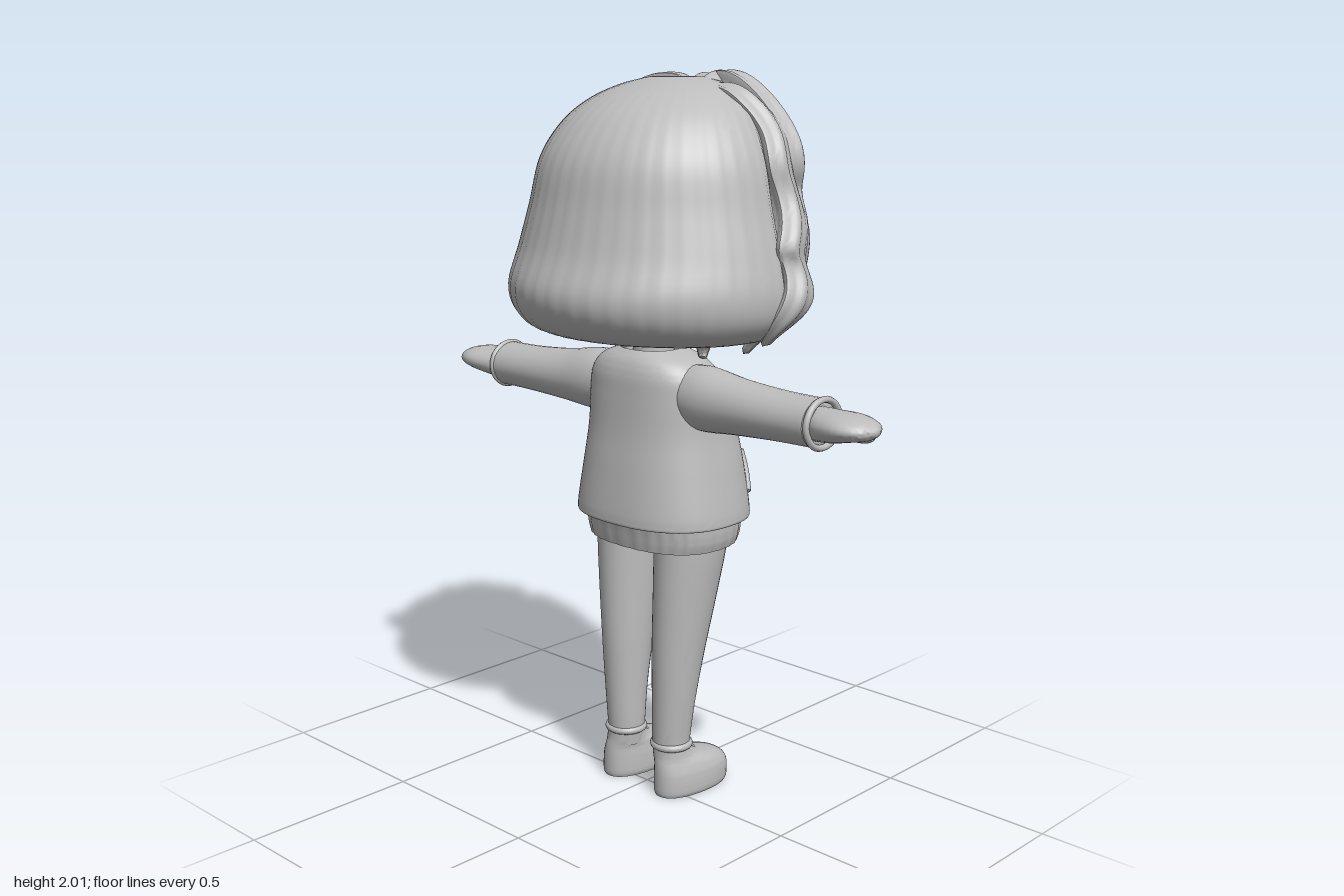
import * as THREE from 'three';
import { mergeVertices, toCreasedNormals } from 'three/addons/utils/BufferGeometryUtils.js';

const grey = new THREE.MeshStandardMaterial({ color: 0xbcbcbc, side: THREE.DoubleSide });
grey.name = 'plain grey';

// Skin a grid of points: rows run along the part, columns run round it
function skin(rows, cols, point, crease = 1) {
  const pos = [], index = [];
  for (let i = 0; i <= rows; i++)
    for (let j = 0; j <= cols; j++) pos.push(...point(i / rows, j / cols));
  for (let i = 0; i < rows; i++)
    for (let j = 0; j < cols; j++) {
      const a = i * (cols + 1) + j, b = a + cols + 1;
      index.push(a, a + 1, b + 1, a, b + 1, b);
    }
  let g = new THREE.BufferGeometry();
  g.setAttribute('position', new THREE.Float32BufferAttribute(pos, 3));
  g.setIndex(index);
  g = mergeVertices(g, 1e-5);
  return toCreasedNormals(g, crease);
}

// Stack of oval sections, bottom to top: [y, half width, back, front, centre z, centre x]
function loft(sections, { n = 48, steps = 6, power = 2, gap = 0, ripple = 0, ribs = 0, closed = true } = {}) {
  const column = k => new THREE.SplineCurve(sections.map((s, i) => new THREE.Vector2(i, s[k] ?? 0)));
  const curves = [0, 1, 2, 3, 4, 5].map(column);
  const rows = (sections.length - 1) * steps + (closed ? 2 : 0);
  return skin(rows, n, (v, w) => {
    const i = Math.round(v * rows);
    const t = closed ? THREE.MathUtils.clamp((i - 1) / (rows - 2), 0, 1) : v;
    const [y, W, B, F, c, x] = curves.map(k => k.getPoint(t).y);
    const scale = closed && (i === 0 || i === rows) ? 0 : 1;
    const a = gap + (2 * Math.PI - 2 * gap) * w;
    const bend = q => Math.sign(q) * Math.abs(q) ** (2 / power);
    const k = scale * (1 + ripple * Math.cos(a * ribs));
    const s = bend(Math.sin(a)), z = bend(Math.cos(a));
    return [x + W * s * k, y, c + z * k * (z > 0 ? F - c : c - B)];
  });
}

// Sweep an oval along a path; sizes are [half width, half thickness] at each point
function sweep(points, sizes, { out = () => new THREE.Vector3(0, 1, 0), wave = 0, phase = 0, ridge = 0, n = 16, rows = 36 } = {}) {
  const path = new THREE.CatmullRomCurve3(points.map(p => new THREE.Vector3(...p)), false, 'catmullrom', 0.5);
  const size = new THREE.SplineCurve(sizes.map(s => new THREE.Vector2(...s)));
  return skin(rows, n, (v, w) => {
    const p = path.getPoint(v), t = path.getTangent(v), r = size.getPoint(v);
    const o = out(p).addScaledVector(t, -out(p).dot(t)).normalize();
    const side = o.clone().cross(t);
    const a = w * 2 * Math.PI, k = (v === 0 || v === 1 ? 0 : 1) * (1 + ridge * Math.cos(a * 6));
    p.addScaledVector(side, wave * Math.sin(v * 7 * Math.PI + phase) * Math.min(1, v * 3));
    p.addScaledVector(side, Math.cos(a) * r.x * k).addScaledVector(o, Math.sin(a) * r.y * k);
    return p.toArray();
  });
}

export function createModel() {
  const model = new THREE.Group();
  const figure = new THREE.Group();
  figure.name = 'figure';
  figure.rotation.y = Math.PI / 2; // the figure looks towards +x
  model.add(figure);
  const add = (name, geometry) => {
    const mesh = new THREE.Mesh(geometry, grey);
    mesh.name = name;
    figure.add(mesh);
    return mesh;
  };
  const ball = (name, p, s) => {
    const mesh = add(name, new THREE.SphereGeometry(1, 24, 16));
    mesh.position.set(...p);
    mesh.scale.set(...s);
    return mesh;
  };

  // Head and neck
  add('head', loft([
    [1.325, 0.07, -0.02, 0.15, 0.06], [1.345, 0.15, -0.06, 0.225, 0.06], [1.4, 0.215, -0.1, 0.287, 0.06],
    [1.47, 0.24, -0.12, 0.312, 0.06], [1.55, 0.247, -0.13, 0.288, 0.06], [1.65, 0.25, -0.13, 0.288, 0.06],
    [1.76, 0.24, -0.12, 0.28, 0.06], [1.86, 0.19, -0.08, 0.24, 0.06], [1.92, 0.08, 0, 0.15, 0.06]], { power: 2.2 }));
  const neck = add('neck', new THREE.CylinderGeometry(0.05, 0.06, 0.16, 24));
  neck.position.set(0, 1.29, 0.025);
  ball('nose', [0, 1.495, 0.305], [0.018, 0.014, 0.016]);
  add('mouth', sweep([[-0.03, 1.425, 0.298], [0, 1.42, 0.303], [0.03, 1.425, 0.298]],
    [[0.003, 0.003], [0.006, 0.006], [0.003, 0.003]], { rows: 12, n: 8 }));

  // Back hair: a smooth bob that flares at the hem
  add('backHair', loft([
    [1.305, 0.24, -0.1, 0.09, 0.04], [1.325, 0.35, -0.26, 0.13, 0.05], [1.375, 0.41, -0.33, 0.14, 0.06],
    [1.45, 0.425, -0.352, 0.14, 0.06], [1.55, 0.405, -0.315, 0.14, 0.06], [1.66, 0.375, -0.285, 0.15, 0.06],
    [1.78, 0.345, -0.255, 0.17, 0.06], [1.87, 0.295, -0.195, 0.2, 0.07], [1.93, 0.235, -0.12, 0.215, 0.09],
    [1.97, 0.16, -0.03, 0.215, 0.11], [1.99, 0.08, 0.05, 0.18, 0.12]], { n: 144, ripple: 0.004, ribs: 44 }));

  // Waist, shirt and jacket
  add('shirt', loft([
    [0.73, 0.215, -0.098, 0.23, 0.06], [0.77, 0.225, -0.105, 0.24, 0.06], [0.85, 0.222, -0.115, 0.245, 0.06],
    [1.0, 0.2, -0.1, 0.228, 0.05], [1.15, 0.182, -0.09, 0.19, 0.04], [1.22, 0.155, -0.08, 0.145, 0.03],
    [1.265, 0.08, -0.045, 0.09, 0.02]], { n: 128, power: 2.4, ripple: 0.008, ribs: 32 }));
  const jacket = [
    [0.82, 0.215, -0.105, 0.235, 0.06], [0.803, 0.24, -0.132, 0.262, 0.06], [0.82, 0.247, -0.139, 0.27, 0.06],
    [0.95, 0.226, -0.125, 0.257, 0.06], [1.05, 0.208, -0.112, 0.241, 0.05], [1.15, 0.2, -0.105, 0.208, 0.04],
    [1.21, 0.187, -0.1, 0.165, 0.03], [1.25, 0.15, -0.085, 0.13, 0.025], [1.275, 0.085, -0.06, 0.1, 0.02]];
  add('jacket', loft(jacket, { n: 64, power: 2.4, gap: 0.15, closed: false }));

  // Radial direction from the middle of the head, used to lay hair flat
  const fromHead = p => new THREE.Vector3(p.x, (p.y - 1.6) * 0.6, p.z + 0.02);
  const locks = [
    ['innerLock', [[0.0, 1.87, 0.25], [0.06, 1.92, 0.28], [0.14, 1.85, 0.295], [0.2, 1.74, 0.28], [0.25, 1.65, 0.255],
      [0.27, 1.55, 0.22], [0.31, 1.45, 0.18], [0.27, 1.36, 0.14]], 0.05],
    ['mainLock', [[0.01, 1.91, 0.21], [0.09, 1.95, 0.22], [0.2, 1.91, 0.23], [0.28, 1.8, 0.24], [0.29, 1.69, 0.23],
      [0.35, 1.58, 0.19], [0.35, 1.47, 0.16], [0.4, 1.37, 0.12]], 0.062],
    ['outerLock', [[0.06, 1.95, 0.13], [0.2, 1.92, 0.14], [0.29, 1.84, 0.15], [0.33, 1.72, 0.15], [0.38, 1.61, 0.13],
      [0.39, 1.53, 0.12], [0.42, 1.43, 0.1], [0.35, 1.31, 0.07]], 0.06],
    ['lowerLock', [[0.31, 1.72, 0.19], [0.33, 1.63, 0.2], [0.34, 1.54, 0.2], [0.3, 1.48, 0.18], [0.34, 1.42, 0.15],
      [0.31, 1.36, 0.13], [0.27, 1.28, 0.08]], 0.045],
    ['napeLock', [[0.2, 1.42, -0.02], [0.22, 1.36, 0], [0.19, 1.32, 0.02], [0.2, 1.27, 0.0]], 0.045]];

  for (const m of [-1, 1]) {
    const side = m < 0 ? 'right' : 'left';
    const mirror = pts => pts.map(([x, y, z]) => [x * m, y, z]);
    const named = part => side + part[0].toUpperCase() + part.slice(1);

    // Wavy front locks parted in the middle
    locks.forEach(([name, pts, r], k) => add(named(name), sweep(mirror(pts),
      pts.map((_, i) => {
        const s = i === 0 ? 0.5 : i === pts.length - 1 ? 0.3 : 1;
        return [r * s, r * 0.65 * s];
      }), { out: fromHead, wave: 0.016, phase: k * 1.7 + m * 0.6, ridge: 0.1, n: 30, rows: 60 })));

    // Face details
    ball(named('eye'), [0.12 * m, 1.56, 0.253], [0.052, 0.048, 0.02]).rotation.y = 0.38 * m;
    ball(named('ear'), [0.262 * m, 1.48, 0.09], [0.03, 0.06, 0.045]);
    add(named('brow'), sweep(mirror([[0.06, 1.645, 0.281], [0.11, 1.665, 0.268], [0.17, 1.665, 0.232]]),
      [[0.005, 0.005], [0.009, 0.008], [0.004, 0.004]], { rows: 14, n: 8 }));

    // Sleeve, cuff, hand and thumb
    add(named('sleeve'), sweep(mirror([[0.1, 1.165, 0.02], [0.2, 1.157, 0.02], [0.32, 1.152, 0.02], [0.46, 1.15, 0.02], [0.595, 1.15, 0.02]]),
      [[0.07, 0.075], [0.08, 0.088], [0.077, 0.075], [0.075, 0.066], [0.074, 0.064]], { n: 28 }));
    const cuff = add(named('cuff'), new THREE.TorusGeometry(0.062, 0.009, 8, 32));
    cuff.rotation.y = Math.PI / 2;
    cuff.position.set(0.59 * m, 1.15, 0.02);
    cuff.scale.x = 1.08;
    add(named('hand'), sweep(mirror([[0.57, 1.15, 0.015], [0.63, 1.152, 0.012], [0.69, 1.157, 0.01], [0.74, 1.156, 0.01], [0.765, 1.155, 0.01]]),
      [[0.05, 0.045], [0.068, 0.042], [0.075, 0.035], [0.052, 0.024], [0.015, 0.01]], { n: 24 }));
    add(named('thumb'), sweep(mirror([[0.6, 1.135, 0.06], [0.64, 1.122, 0.085], [0.67, 1.117, 0.1], [0.69, 1.117, 0.103]]),
      [[0.015, 0.015], [0.022, 0.02], [0.019, 0.018], [0.008, 0.008]], { rows: 16 }));

    // Jacket front edge and slanted pocket welt
    add(named('jacketEdge'), sweep(mirror([[0.05, 0.81, 0.262], [0.045, 0.95, 0.255], [0.042, 1.05, 0.24],
      [0.042, 1.15, 0.206], [0.04, 1.21, 0.163], [0.03, 1.255, 0.125]]),
      Array(6).fill([0.007, 0.007]), { n: 10, out: () => new THREE.Vector3(0, 0, 1) }));
    add(named('pocket'), sweep(mirror([[0.145, 0.98, 0.215], [0.17, 0.92, 0.211], [0.2, 0.86, 0.19]]),
      Array(3).fill([0.017, 0.013]), { n: 12, rows: 16, out: () => new THREE.Vector3(m * 0.6, 0, 1) }));

    // Leg, ankle cuff and rounded shoe
    add(named('leg'), loft([
      [0.1, 0.05, -0.045, 0.055, 0.005, 0.09 * m], [0.16, 0.053, -0.05, 0.06, 0.005, 0.089 * m],
      [0.28, 0.06, -0.054, 0.075, 0.01, 0.094 * m], [0.42, 0.069, -0.058, 0.105, 0.02, 0.099 * m],
      [0.58, 0.081, -0.058, 0.14, 0.04, 0.106 * m], [0.72, 0.091, -0.056, 0.17, 0.055, 0.111 * m],
      [0.8, 0.09, -0.056, 0.18, 0.06, 0.111 * m]], { n: 32 }));
    const hem = add(named('legHem'), new THREE.TorusGeometry(0.05, 0.011, 10, 32));
    hem.rotation.x = Math.PI / 2;
    hem.position.set(0.09 * m, 0.145, 0.005);
    add(named('shoe'), loft([
      [0, 0.066, -0.055, 0.195, 0.09, 0.102 * m], [0.015, 0.071, -0.058, 0.2, 0.09, 0.102 * m],
      [0.06, 0.07, -0.057, 0.198, 0.09, 0.101 * m], [0.09, 0.062, -0.054, 0.165, 0.07, 0.098 * m],
      [0.11, 0.053, -0.05, 0.09, 0.02, 0.093 * m], [0.135, 0.05, -0.048, 0.058, 0.005, 0.09 * m]], { n: 36, power: 2.2 }));
  }

  // Lifted fringe over the parting and one loose ringlet
  add('crownLock', sweep([[0.03, 1.87, 0.28], [-0.03, 1.94, 0.24], [-0.08, 1.94, 0.18], [-0.1, 1.92, 0.08]],
    [[0.02, 0.02], [0.055, 0.045], [0.07, 0.055], [0.05, 0.03]], { out: fromHead, ridge: 0.1, n: 30 }));
  add('fringeCurl', sweep([[0.0, 1.9, 0.28], [-0.06, 1.85, 0.305], [-0.07, 1.78, 0.295], [-0.04, 1.73, 0.285], [-0.09, 1.7, 0.275]],
    [[0.02, 0.015], [0.035, 0.025], [0.028, 0.02], [0.02, 0.015], [0.006, 0.006]], { out: fromHead, ridge: 0.1, n: 24 }));
  const ringlet = add('ringlet', new THREE.TorusGeometry(0.03, 0.008, 10, 28));
  ringlet.position.set(0.435, 1.38, 0.11);

  return model;
}
